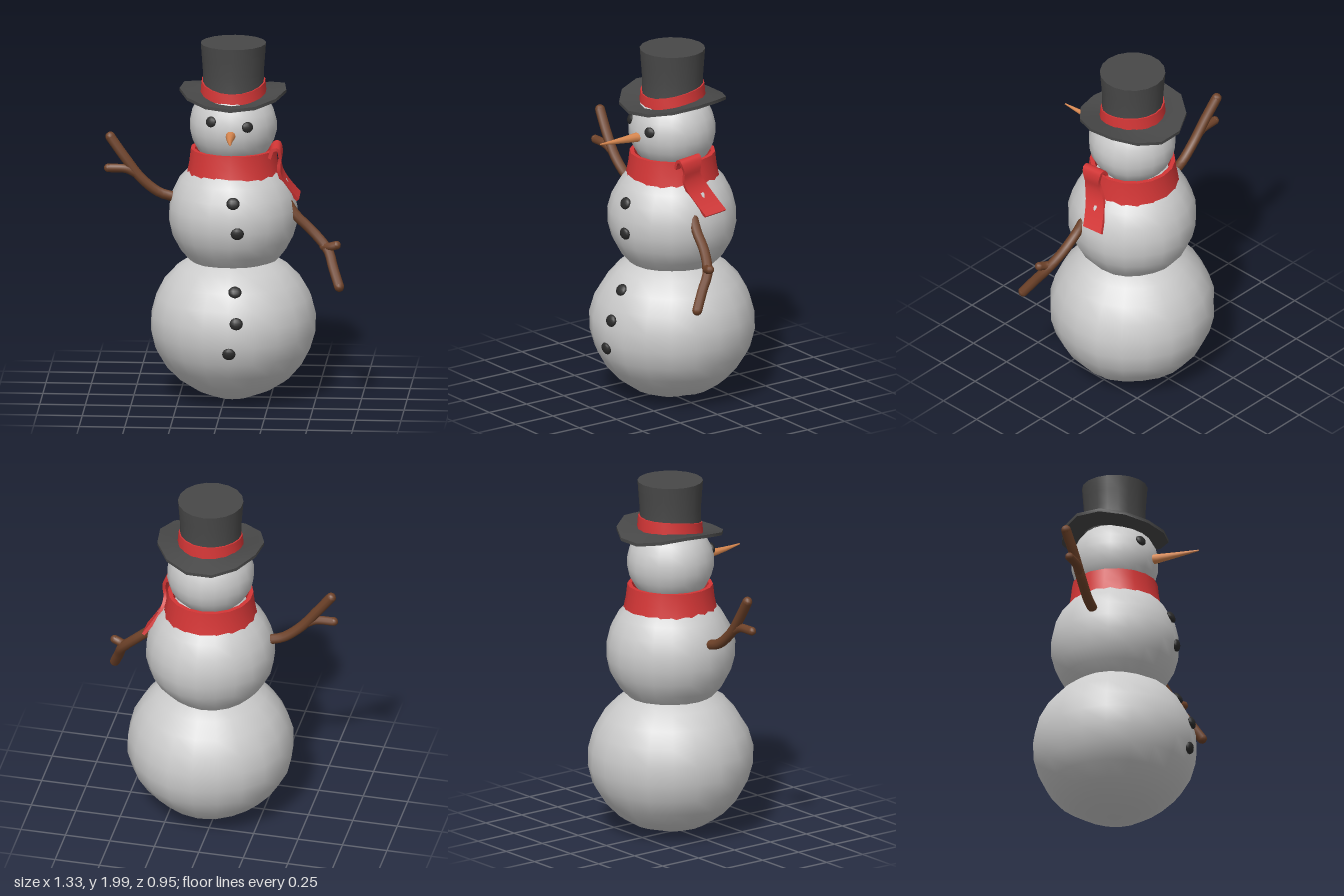
import * as THREE from 'three';
import { toCreasedNormals } from 'three/addons/utils/BufferGeometryUtils.js';

const CX = 0.045, CZ = -0.02; // vertical axis of the body
const mat = (color, side = THREE.FrontSide) =>
  new THREE.MeshStandardMaterial({ color, side });
const V = (p) => new THREE.Vector3(...p);

export function createModel() {
  const model = new THREE.Group();
  const snow = mat(0xcccccc), coal = mat(0x2b2b2b), red = mat(0xd43636, THREE.DoubleSide);
  const felt = mat(0x484848, THREE.DoubleSide), wood = mat(0x6e4229), carrot = mat(0xd98850);

  const add = (name, geometry, material, parent = model) => {
    const mesh = new THREE.Mesh(geometry, material);
    mesh.name = name;
    parent.add(mesh);
    return mesh;
  };

  // Move every vertex by a rule
  const warp = (geometry, rule) => {
    const pos = geometry.attributes.position, v = new THREE.Vector3();
    for (let i = 0; i < pos.count; i++) {
      rule(v.fromBufferAttribute(pos, i));
      pos.setXYZ(i, v.x, v.y, v.z);
    }
    geometry.computeVertexNormals();
    return geometry;
  };
  const lathe = (profile, segments) =>
    new THREE.LatheGeometry(profile.map(([r, y]) => new THREE.Vector2(r, y)), segments);
  const onAxis = (mesh, y = 0) => mesh.position.set(CX, y, CZ);

  // Slightly lumpy snowballs
  const balls = {
    lowerBody: { y: 0.43, r: 0.455, ry: 0.422 },
    middleBody: { y: 1.04, r: 0.355, ry: 0.35 },
    head: { y: 1.54, r: 0.24, ry: 0.235 },
  };
  for (const [name, b] of Object.entries(balls)) {
    const geo = warp(new THREE.SphereGeometry(1, 20, 13), (v) => {
      const lump = Math.sin(5 * v.x + 2 * v.y + b.y) * Math.sin(6 * v.z - 3 * v.y);
      v.multiplyScalar(1 + 0.013 * lump);
      v.set(v.x * b.r, v.y * b.ry, v.z * b.r);
    });
    // Share the normals across the sphere's seam
    geo.deleteAttribute('uv');
    onAxis(add(name, toCreasedNormals(geo, Math.PI / 3), snow), b.y);
  }

  // Coal lumps pressed into the surface of a ball
  const coalOn = (name, ball, x, y, size) => {
    const dx = x - CX, dy = y - ball.y;
    const dz = ball.r * Math.sqrt(1 - (dx / ball.r) ** 2 - (dy / ball.ry) ** 2);
    const lump = add(name, new THREE.SphereGeometry(size, 10, 8), coal);
    lump.position.set(x, y, CZ + dz);
    lump.lookAt(x + dx, y + dy, CZ + 2 * dz);
    lump.scale.set(1.08, 1, 0.55);
  };
  coalOn('rightEye', balls.head, -0.065, 1.6, 0.03);
  coalOn('leftEye', balls.head, 0.137, 1.576, 0.03);
  [[0.065, 1.17, 'middleBody'], [0.09, 1.005, 'middleBody'], [0.078, 0.68, 'lowerBody'],
    [0.09, 0.52, 'lowerBody'], [0.05, 0.35, 'lowerBody']]
    .forEach(([x, y, ball], i) => coalOn(`button${i + 1}`, balls[ball], x, y, 0.034));

  // Carrot nose, gently bent towards the tip
  const nose = new THREE.CylinderGeometry(0.004, 0.03, 0.29, 9, 5);
  nose.rotateX(Math.PI / 2);
  warp(nose, (v) => {
    const t = v.z / 0.29 + 0.5;
    v.x += 0.016 * t * t;
    v.y += 0.012 * t * t;
  });
  add('nose', nose, carrot).position.set(CX, 1.528, 0.33);

  // Stick arms: tubes with rounded ends
  const stick = (name, points, radius, parent) => {
    const group = new THREE.Group();
    group.name = name;
    parent.add(group);
    const path = new THREE.CatmullRomCurve3(points.map(V));
    add('stick', new THREE.TubeGeometry(path, 16, radius, 9), wood, group);
    for (const end of [points[0], points.at(-1)])
      add('stickEnd', new THREE.SphereGeometry(radius, 9, 8), wood, group).position.set(...end);
  };
  const arms = {
    leftArm: [
      [[0.35, 1.12, 0.055], [0.39, 1.06, 0.065], [0.49, 0.965, 0.08], [0.575, 0.87, 0.12],
        [0.605, 0.79, 0.175], [0.643, 0.695, 0.237]],
      [[0.55, 0.89, 0.11], [0.59, 0.895, 0.13], [0.622, 0.905, 0.137]],
    ],
    rightArm: [
      [[-0.28, 1.13, -0.005], [-0.36, 1.155, 0], [-0.46, 1.235, 0.005], [-0.55, 1.35, 0],
        [-0.63, 1.46, -0.012]],
      [[-0.48, 1.255, 0.005], [-0.54, 1.285, 0.01], [-0.64, 1.29, 0.012]],
    ],
  };
  for (const [name, [limb, twig]] of Object.entries(arms)) {
    const arm = new THREE.Group();
    arm.name = name;
    model.add(arm);
    stick('limb', limb, 0.028, arm);
    stick('twig', twig, 0.024, arm);
  }

  // Scarf wrap: a thick flared ring
  const wrap = lathe([[0.225, 1.27], [0.257, 1.27], [0.243, 1.34], [0.235, 1.41],
    [0.212, 1.41], [0.2, 1.34], [0.225, 1.27]], 18);
  onAxis(add('scarfWrap', toCreasedNormals(wrap, 0.7), red));

  // Scarf tail: a strip hooked over the wrap and swinging outwards
  const tailPath = new THREE.CatmullRomCurve3([
    [0.25, 1.385, 0.04], [0.268, 1.43, 0.04], [0.295, 1.435, 0.04], [0.308, 1.39, 0.036],
    [0.3, 1.33, 0.03], [0.312, 1.265, 0.005], [0.355, 1.19, -0.03], [0.4, 1.13, -0.058]].map(V));
  const tail = warp(new THREE.BoxGeometry(1, 1, 1, 1, 20, 1), (v) => {
    const t = 0.5 - v.y, c = tailPath.getPoint(t), d = tailPath.getTangent(t);
    const width = 0.135 - 0.03 * Math.exp(-(((t - 0.5) / 0.12) ** 2));
    const out = new THREE.Vector3(-d.y, d.x, 0).normalize().multiplyScalar(v.x * 0.018);
    const across = v.z * width;
    v.copy(c).add(out);
    v.z += across;
    v.y -= across * 0.1;
  });
  add('scarfTail', toCreasedNormals(tail, 0.8), red);

  // Top hat: crown, tilted band and a brim curled up at the sides
  const hat = new THREE.Group();
  hat.name = 'hat';
  model.add(hat);
  onAxis(hat);
  const crown = lathe([[0.172, 1.69], [0.168, 1.76], [0.168, 1.84], [0.174, 1.92], [0.18, 2],
    [0, 2]], 18);
  add('crown', toCreasedNormals(crown, 0.7), felt, hat);

  const tilt = (v) => {
    const r = Math.hypot(v.x, v.z), u = v.x / r, w = v.z / r;
    v.y += 0.015 * u * u - 0.028 * w;
    return { r, u, w };
  };
  const band = warp(lathe([[0.165, 1.695], [0.183, 1.695], [0.176, 1.775], [0.165, 1.775]], 18), tilt);
  add('band', toCreasedNormals(band, 0.7), red, hat);

  const brim = warp(lathe([[0.16, 1.69], [0.23, 1.688], [0.295, 1.69], [0.295, 1.708],
    [0.23, 1.71], [0.16, 1.712], [0.16, 1.69]], 13), (v) => {
    const { r, u, w } = tilt(v);
    const t = (r - 0.16) / 0.135;
    v.y += t * (0.03 * u * u - (w < 0 ? 0.035 : -0.012) * w * w);
  });
  add('brim', toCreasedNormals(brim, 0.7), felt, hat);

  return model;
}
